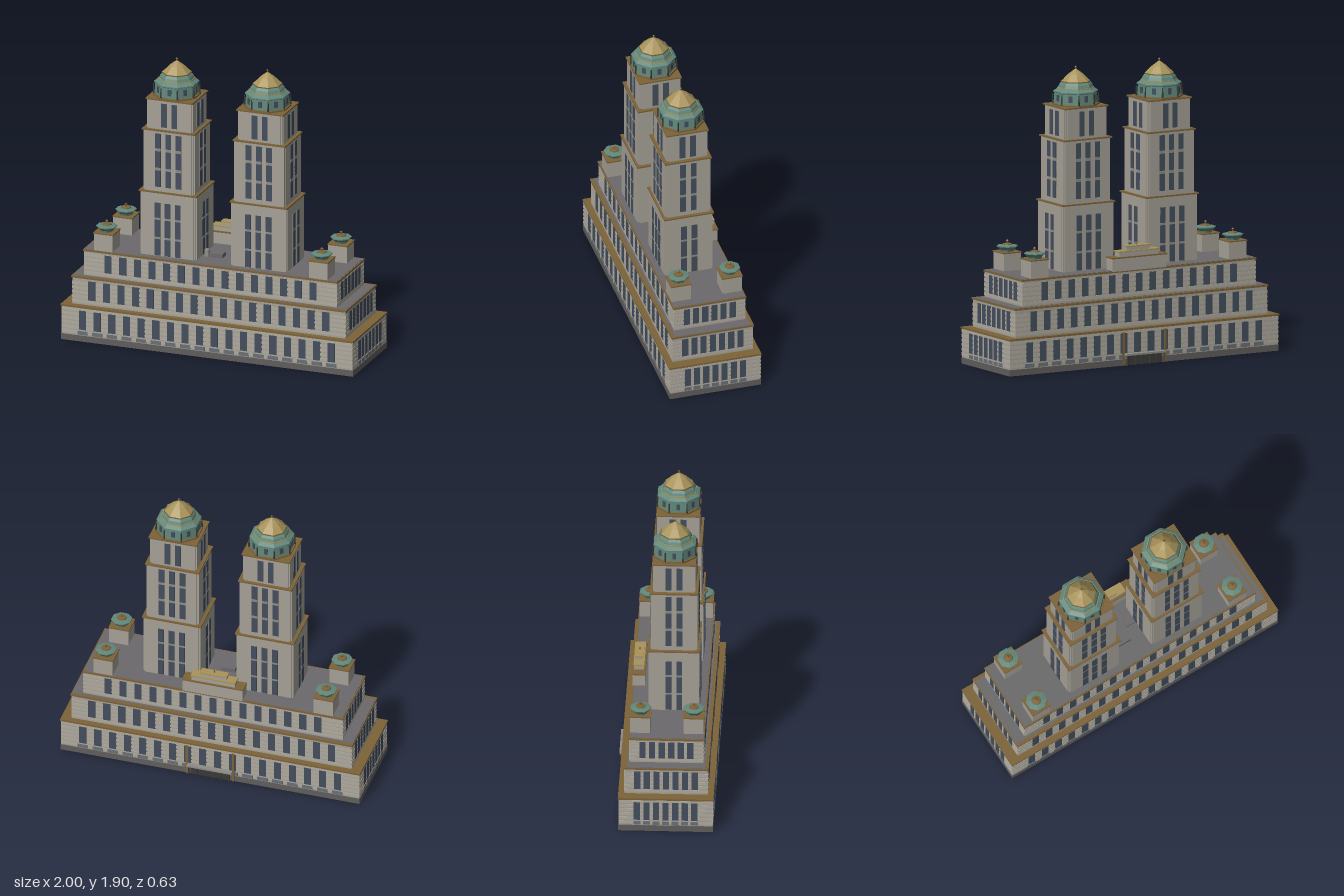
import * as THREE from 'three';

const mat = (color, flatShading = true) => new THREE.MeshStandardMaterial({ color, flatShading });
const M = {
  stone: mat(0xa6a197), band: mat(0xb0ab9f), plinth: mat(0x605e5c), roof: mat(0x6b696b),
  bronze: mat(0x7c6238), glass: mat(0x434e5c), vent: mat(0x6a7078), copper: mat(0x62877a),
  dark: mat(0x3a3a38), gold: mat(0xa8935a), spandrel: mat(0x8f8c86),
};
const CZ = 0.01; // centre of the podium in depth

function add(parent, name, geometry, material, x = 0, y = 0, z = 0) {
  const mesh = new THREE.Mesh(geometry, material);
  mesh.name = name;
  mesh.position.set(x, y, z);
  parent.add(mesh);
  return mesh;
}

// Box given by centre x/z, half sizes and bottom/top heights
const box = (parent, name, m, x, z, hx, hz, y0, y1) =>
  add(parent, name, new THREE.BoxGeometry(2 * hx, y1 - y0, 2 * hz), m, x, (y0 + y1) / 2, z);

// Eight-sided lathe with flats facing the axes; profile uses flat-side radii
function octagon(parent, name, m, profile) {
  const pts = profile.map(([r, y]) => new THREE.Vector2(r / Math.cos(Math.PI / 8), y));
  return add(parent, name, new THREE.LatheGeometry(pts, 8, Math.PI / 8), m);
}

// Evenly spaced panels on opposite faces of a block
function panels(parent, name, m, { axis, n, pitch, w, y0, y1, half, x = 0, z = 0 }) {
  for (let i = 0; i < n; i++) {
    const t = (i - (n - 1) / 2) * pitch;
    for (const s of [-1, 1]) {
      if (axis === 'x') box(parent, name, m, x + t, z + s * half, w / 2, 0.004, y0, y1);
      else box(parent, name, m, x + s * half, z + t, 0.004, w / 2, y0, y1);
    }
  }
}

// One setback storey of the podium: walls, stone courses, windows, cornice
function podiumTier(root, name, t) {
  const g = new THREE.Group();
  g.name = name;
  root.add(g);
  box(g, 'wall', M.stone, 0, CZ, t.hx, t.hz, t.y0, t.y1);
  for (let y = t.y0 + 0.012; y < t.y1 - 0.02; y += 0.03)
    box(g, 'stoneCourse', M.band, 0, CZ, t.hx + 0.002, t.hz + 0.002, y, y + 0.02);
  const win = { y0: t.w0, y1: t.w1, z: CZ };
  panels(g, 'window', M.glass, { ...win, axis: 'x', n: t.nx, pitch: 0.1, w: 0.048, half: t.hz });
  panels(g, 'window', M.glass, { ...win, axis: 'z', n: t.nz, pitch: 0.061, w: 0.04, half: t.hx });
  box(g, 'cornice', M.bronze, 0, CZ, t.hx + 0.006, t.hz + 0.006, t.y1, t.y1 + 0.012);
  return g;
}

function finial(parent, y, s) {
  add(parent, 'finialStem', new THREE.CylinderGeometry(s * 0.4, s * 0.6, s * 2, 6), M.bronze, 0, y, 0);
  add(parent, 'finial', new THREE.OctahedronGeometry(s), M.bronze, 0, y + s, 0);
}

// Octagonal copper drum and dome with a gilded cone
function dome() {
  const g = new THREE.Group();
  g.name = 'dome';
  octagon(g, 'drumBase', M.bronze, [[0, 0], [0.142, 0], [0.142, 0.012], [0, 0.012]]);
  octagon(g, 'drum', M.copper, [[0.132, 0.01], [0.127, 0.08], [0.134, 0.084], [0.134, 0.092], [0.106, 0.11]]);
  octagon(g, 'ring', M.gold, [[0.1, 0.108], [0.11, 0.108], [0.11, 0.114], [0.1, 0.114]]);
  octagon(g, 'domeShell', M.copper, [[0.106, 0.114], [0.099, 0.132], [0.085, 0.15]]);
  octagon(g, 'coneRim', M.bronze, [[0.07, 0.148], [0.089, 0.148], [0.089, 0.154], [0.07, 0.154]]);
  octagon(g, 'cone', M.gold, [[0.085, 0.154], [0.045, 0.197], [0.001, 0.232]]);
  finial(g, 0.232, 0.009);
  for (let i = 0; i < 8; i++) {
    const side = new THREE.Group();
    side.name = 'drumSide';
    side.rotation.y = i * Math.PI / 4;
    g.add(side);
    box(side, 'drumWindow', M.glass, 0, 0.128, 0.012, 0.006, 0.03, 0.07);
    const a = Math.PI / 8, r = 0.147;
    add(side, 'drumPost', new THREE.CylinderGeometry(0.004, 0.006, 0.066, 6), M.dark,
      r * Math.sin(a), 0.043, r * Math.cos(a));
  }
  return g;
}

function tower(x) {
  const g = new THREE.Group();
  g.name = 'tower';
  g.position.set(x, 0, 0.042);
  const stages = [
    { hx: 0.193, hz: 0.161, y0: 0.6, y1: 1.03, cols: 3, rows: [[0.61, 0.72], [0.735, 0.85], [0.865, 0.965]] },
    { hx: 0.176, hz: 0.151, y0: 1.03, y1: 1.445, cols: 3, rows: [[1.07, 1.18], [1.2, 1.31], [1.33, 1.43]] },
    { hx: 0.157, hz: 0.136, y0: 1.445, y1: 1.648, cols: 2, rows: [[1.47, 1.63]] },
  ];
  for (const s of stages) {
    // Two crossing blocks leave notched corners
    box(g, 'shaft', M.stone, 0, 0, s.hx, s.hz - 0.016, s.y0, s.y1);
    box(g, 'shaftCross', M.stone, 0, 0, s.hx - 0.016, s.hz, s.y0, s.y1);
    box(g, 'cornerCore', M.stone, 0, 0, s.hx - 0.006, s.hz - 0.006, s.y0, s.y1);
    const faces = [
      { axis: 'x', n: s.cols, pitch: 0.07, w: 0.038, half: s.hz },
      { axis: 'z', n: 2, pitch: 0.07, w: 0.038, half: s.hx },
    ];
    for (const f of faces) {
      const first = s.rows[0][0], last = s.rows[s.rows.length - 1][1];
      panels(g, 'spandrel', M.spandrel, { ...f, half: f.half - 0.002, y0: first, y1: last });
      for (const [y0, y1] of s.rows) panels(g, 'window', M.glass, { ...f, y0, y1 });
    }
    box(g, 'cornice', M.bronze, 0, 0, s.hx + 0.004, s.hz + 0.004, s.y1, s.y1 + 0.009);
  }
  const top = dome();
  top.position.y = 1.655;
  g.add(top);
  return g;
}

// Corner pavilion with a flared copper bowl
function turret(x, z) {
  const g = new THREE.Group();
  g.name = 'cornerTurret';
  g.position.set(x, 0, z);
  box(g, 'turretBase', M.stone, 0, 0, 0.064, 0.064, 0.6, 0.716);
  box(g, 'turretCap', M.bronze, 0, 0, 0.068, 0.068, 0.716, 0.724);
  octagon(g, 'bowl', M.copper, [[0.04, 0.724], [0.044, 0.735], [0.063, 0.754], [0.063, 0.76], [0.028, 0.766]]);
  octagon(g, 'bowlCrown', M.bronze, [[0.03, 0.764], [0.028, 0.772], [0.001, 0.776]]);
  finial(g, 0.778, 0.011);
  return g;
}

export function createModel() {
  const root = new THREE.Group();
  root.name = 'twinTowerBuilding';

  // Stepped podium
  box(root, 'plinth', M.plinth, 0, CZ, 0.998, 0.302, 0, 0.04);
  const base = podiumTier(root, 'lowerTier',
    { hx: 0.994, hz: 0.299, y0: 0.04, y1: 0.226, w0: 0.08, w1: 0.208, nx: 18, nz: 7 });
  panels(base, 'basementWindow', M.vent, { axis: 'x', n: 18, pitch: 0.1, w: 0.07, y0: 0.045, y1: 0.07, half: 0.299, z: CZ });
  panels(base, 'basementWindow', M.vent, { axis: 'z', n: 7, pitch: 0.061, w: 0.045, y0: 0.045, y1: 0.07, half: 0.994, z: CZ });
  podiumTier(root, 'middleTier',
    { hx: 0.934, hz: 0.266, y0: 0.238, y1: 0.415, w0: 0.272, w1: 0.4, nx: 17, nz: 7 });
  podiumTier(root, 'upperTier',
    { hx: 0.864, hz: 0.236, y0: 0.427, y1: 0.592, w0: 0.46, w1: 0.578, nx: 15, nz: 6 });
  box(root, 'terraceDeck', M.roof, 0, CZ, 0.934, 0.25, 0.42, 0.429);
  box(root, 'roofDeck', M.roof, 0, CZ, 0.862, 0.234, 0.595, 0.606);

  // Towers and corner turrets
  for (const s of [-1, 1]) {
    root.add(tower(s * 0.31));
    for (const z of [0.18, -0.16]) root.add(turret(s * 0.735, z));
  }

  // Stepped attic block at the back of the roof
  const steps = [[0.2, 0.04, 0.6, 0.682], [0.145, 0.032, 0.69, 0.718], [0.086, 0.024, 0.726, 0.748]];
  const attic = new THREE.Group();
  attic.name = 'attic';
  attic.position.z = -0.195;
  root.add(attic);
  steps.forEach(([hx, hz, y0, y1], i) => {
    box(attic, 'atticStep', M.stone, 0, 0, hx, hz, y0, y1);
    box(attic, 'atticCap', i ? M.gold : M.bronze, 0, 0, hx + 0.004, hz + 0.003, y1, y1 + 0.008);
  });
  finial(attic, 0.76, 0.008);

  // Rooftop plant
  box(root, 'plantUnit', M.roof, -0.02, 0.07, 0.045, 0.035, 0.6, 0.632);
  box(root, 'plantVent', M.spandrel, -0.083, 0.09, 0.014, 0.014, 0.6, 0.652);
  box(root, 'roofHatch', M.roof, 0.075, -0.01, 0.03, 0.025, 0.6, 0.618);

  // Back entrance: framed bay, doors, canopy on posts
  const entrance = new THREE.Group();
  entrance.name = 'entrance';
  root.add(entrance);
  for (const s of [-1, 1]) box(entrance, 'entrancePier', M.bronze, s * 0.155, -0.292, 0.008, 0.005, 0, 0.215);
  box(entrance, 'doors', M.dark, 0, -0.291, 0.13, 0.004, 0, 0.064);
  box(entrance, 'canopy', M.spandrel, 0, -0.303, 0.15, 0.017, 0.064, 0.076);
  for (let i = 0; i < 6; i++)
    add(entrance, 'canopyPost', new THREE.CylinderGeometry(0.004, 0.004, 0.064, 8), M.dark, -0.135 + i * 0.054, 0.032, -0.313);
  return root;
}
